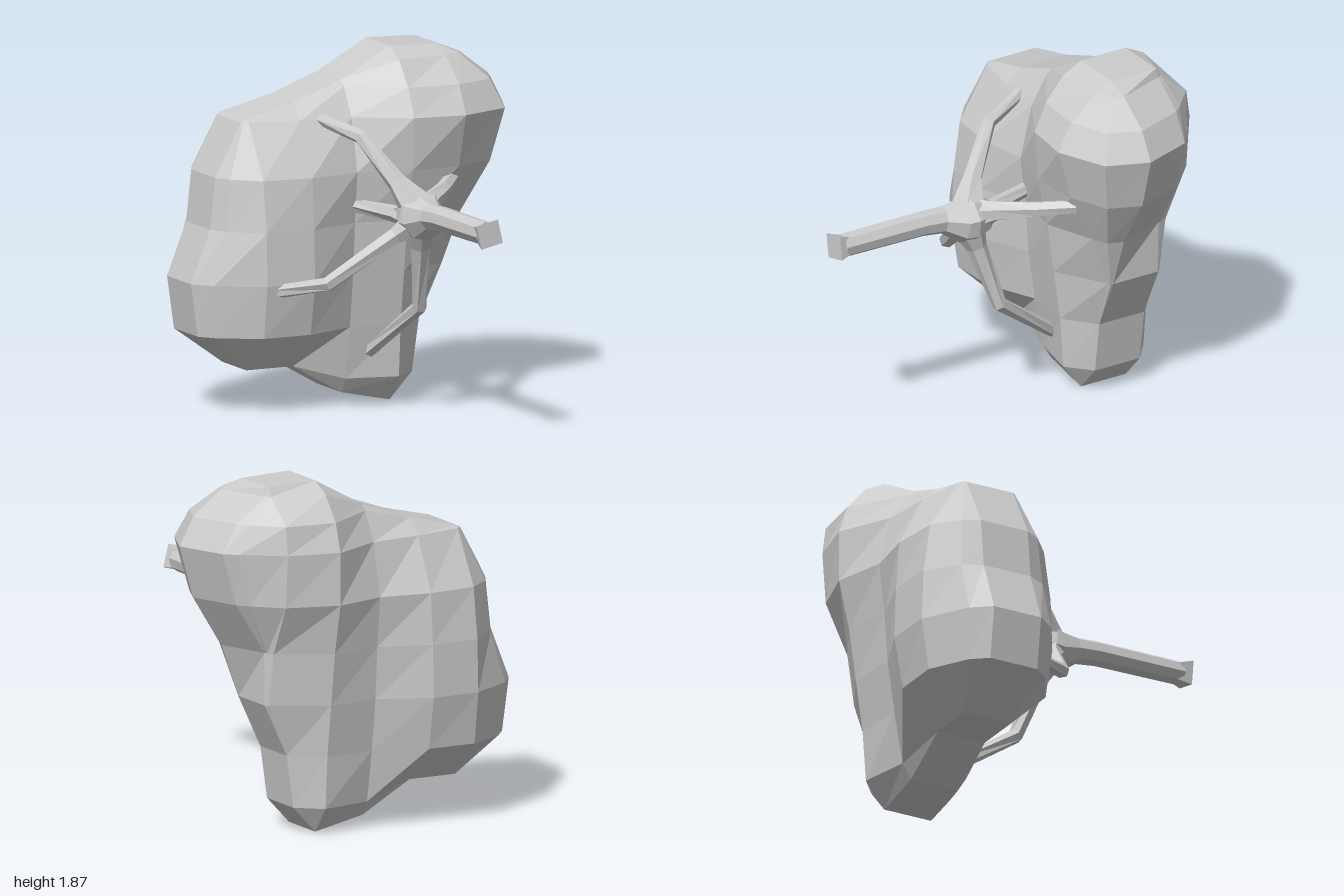
import * as THREE from 'three';

const material = new THREE.MeshStandardMaterial({ color: 0xcccccc, flatShading: true });

// Skins a stack of rings (each anticlockwise about the direction of travel) and closes both ends.
function loft(name, rings) {
  const n = rings[0].length;
  const last = (rings.length - 1) * n;
  const index = [];
  const quad = (a, b, c, d) => index.push(a, b, c, a, c, d);
  for (let j = 0; j < last; j += n) {
    for (let i = 0; i < n; i++) {
      const k = (i + 1) % n;
      quad(j + i, j + k, j + n + k, j + n + i);
    }
  }
  for (let i = 0; i < n / 2 - 1; i++) {
    quad(n - 1 - i, n - 2 - i, i + 1, i);
    quad(last + i, last + i + 1, last + n - 2 - i, last + n - 1 - i);
  }
  const indexed = new THREE.BufferGeometry().setFromPoints(rings.flat());
  indexed.setIndex(index);
  const geometry = indexed.toNonIndexed();
  geometry.computeVertexNormals();
  const mesh = new THREE.Mesh(geometry, material);
  mesh.name = name;
  return mesh;
}

// Faceted limb through points [x, y, z, radius].
function limb(name, path, sides = 6, phase = 0) {
  const points = path.map(([x, y, z]) => new THREE.Vector3(x, y, z));
  const forward = new THREE.Vector3(0, 0, 1);
  const rings = points.map((p, j) => {
    const next = points[Math.min(j + 1, points.length - 1)];
    const tangent = next.clone().sub(points[Math.max(j - 1, 0)]).normalize();
    const turn = new THREE.Quaternion().setFromUnitVectors(forward, tangent);
    return Array.from({ length: sides }, (_, i) => {
      const a = phase + (i / sides) * Math.PI * 2;
      return new THREE.Vector3(Math.cos(a), Math.sin(a), 0)
        .multiplyScalar(path[j][3]).applyQuaternion(turn).add(p);
    });
  });
  return loft(name, rings);
}

// Lumpy crown: horizontal rings on a coarse grid, with a flat rim between front and back.
function foliage() {
  const columns = [-0.58, -0.31, -0.03, 0.25, 0.53];
  const bottom = [0.22, 0.22, 0.06, 0, 0];
  const top = [1.545, 1.61, 1.71, 1.865, 1.855];
  const rimFront = -0.45, rimBack = -0.73;
  // Height, left edge, right edge, then front depth at each column
  const rows = [
    [0.00, -0.58, 0.25, -0.45, -0.45, -0.45, -0.45, -0.45],
    [0.14, -0.58, 0.38, -0.45, -0.45, -0.40, -0.34, -0.45],
    [0.42, -0.86, 0.42, -0.24, -0.24, -0.35, -0.32, -0.45],
    [0.70, -0.90, 0.55, -0.20, -0.19, -0.31, -0.28, -0.43],
    [0.98, -0.79, 0.65, -0.21, -0.20, -0.29, -0.24, -0.33],
    [1.25, -0.76, 0.82, -0.25, -0.22, -0.26, -0.18, -0.20],
    [1.53, -0.61, 0.90, -0.42, -0.36, -0.33, -0.16, -0.12],
    [1.68, -0.58, 0.82, -0.45, -0.45, -0.42, -0.23, -0.20],
    [1.81, -0.58, 0.65, -0.45, -0.45, -0.45, -0.34, -0.36],
    [1.87, -0.58, 0.53, -0.45, -0.45, -0.45, -0.45, -0.45],
  ];
  const rings = rows.map(([height, left, right, ...depth]) => {
    const side = (back) => {
      const rim = back ? rimBack : rimFront;
      const edge = back && right > 0.6 ? Math.max(0.53, right - 0.1) : right;
      const mid = columns.map((x, i) => {
        const mirrored = Math.max(-1, -1.18 - depth[i]) + (i === 4 && depth[i] > -0.4 ? 0.06 : 0);
        return new THREE.Vector3(
          THREE.MathUtils.clamp(x, left, edge),
          THREE.MathUtils.clamp(height, bottom[i], top[i]),
          back ? mirrored : depth[i]);
      });
      // Rounded corner and rim at one end
      const end = (p, x, slope) => {
        const corner = new THREE.Vector3(
          THREE.MathUtils.lerp(p.x, x, 0.75), p.y, THREE.MathUtils.lerp(p.z, rim, slope));
        return [corner, new THREE.Vector3(x, p.y, rim)];
      };
      return [...end(mid[0], left, 0.58).reverse(), ...mid, ...end(mid[4], edge, back ? 0.72 : 0.32)];
    };
    return [...side(false), ...side(true).reverse()];
  });
  return loft('foliage', rings);
}

export function createModel() {
  const group = new THREE.Group();
  group.name = 'tree';
  group.add(foliage());

  // Trunk with its swollen fork, and a square foot
  group.add(limb('trunk', [
    [0.13, 1.09, 0.03, 0.05], [0.125, 1.085, 0.09, 0.105], [0.125, 1.08, 0.17, 0.13],
    [0.12, 1.075, 0.22, 0.12], [0.11, 1.10, 0.33, 0.072], [0.11, 1.11, 0.45, 0.067],
    [0.115, 1.115, 0.96, 0.064],
  ], 8, 0.2));
  group.add(limb('trunkFoot', [[0.112, 1.115, 0.93, 0.065], [0.112, 1.118, 1, 0.09]], 4, 1));

  // Branches spreading from the fork into the foliage
  const branches = {
    upperBranch: [[0.11, 1.12, 0.16, 0.10], [0.03, 1.25, 0.08, 0.052], [-0.09, 1.47, -0.10, 0.038], [-0.19, 1.53, -0.36, 0.034]],
    leftBranch: [[0.12, 1.09, 0.17, 0.10], [0.23, 1.13, 0.07, 0.056], [0.38, 1.16, -0.08, 0.042], [0.51, 1.18, -0.25, 0.037]],
    rightBranch: [[0.11, 1.06, 0.18, 0.09], [0.00, 0.98, 0.13, 0.05], [-0.33, 0.73, 0.00, 0.04], [-0.52, 0.66, -0.25, 0.036]],
    lowerBranch: [[0.12, 1.06, 0.18, 0.10], [0.14, 0.91, 0.13, 0.056], [0.19, 0.57, 0.02, 0.04], [0.10, 0.28, -0.38, 0.036]],
    rearBranch: [[0.12, 1.08, 0.13, 0.09], [0.07, 1.065, 0.00, 0.046], [-0.04, 1.07, -0.36, 0.035]],
  };
  for (const [name, path] of Object.entries(branches)) group.add(limb(name, path));
  return group;
}
